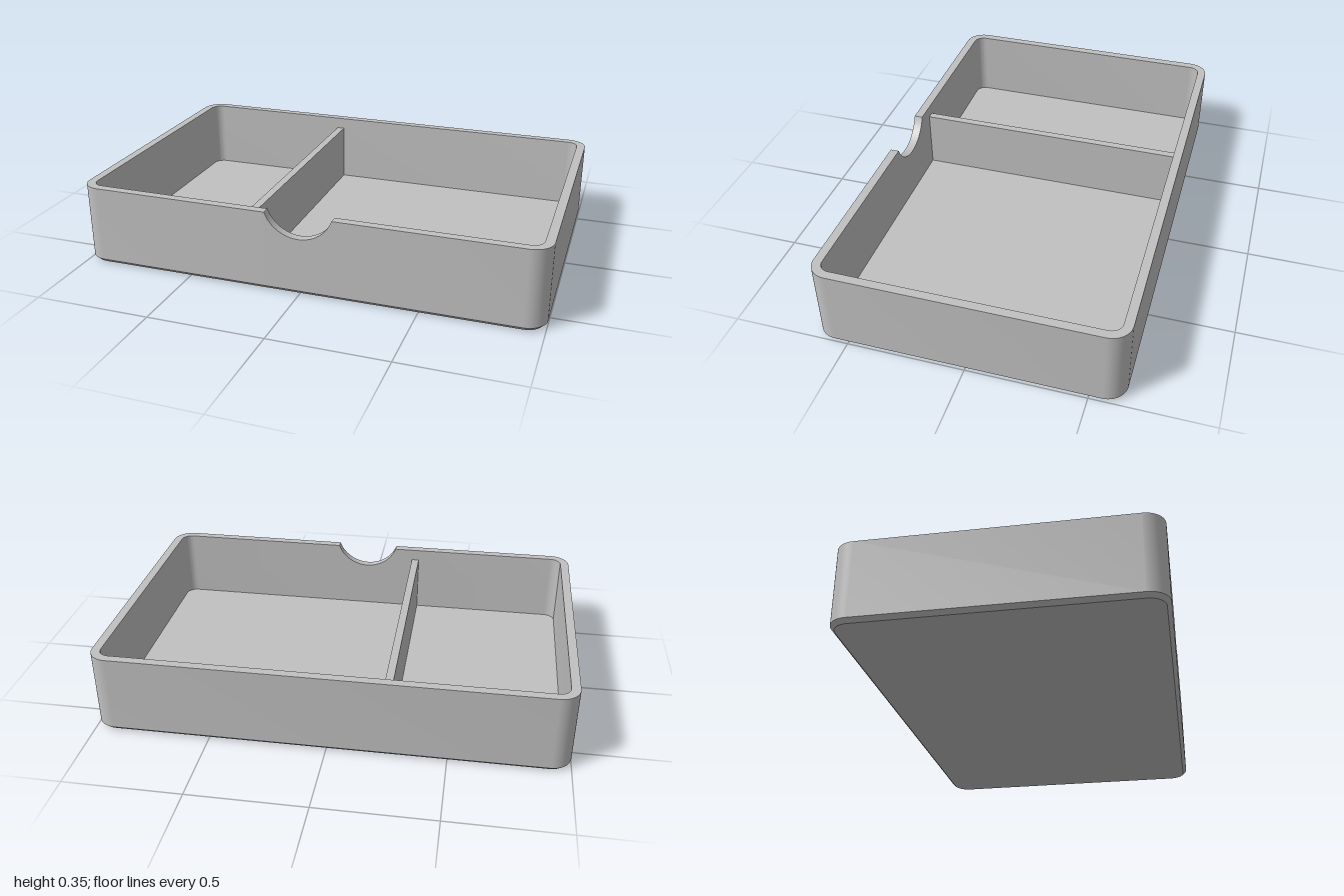
import * as THREE from 'three';
import { toCreasedNormals } from 'three/addons/utils/BufferGeometryUtils.js';

const HALF_X = 1, HALF_Z = 0.64, HEIGHT = 0.35;
const RADIUS = 0.085, WALL = 0.038, FLOOR = 0.037, CHAMFER = 0.017;
const NOTCH_HALF = 0.144, NOTCH_DEPTH = 0.1;

// Rounded-rectangle loop, inset from the outside; extra front points follow the thumb notch
function loop(inset, y, notched = false) {
  const points = [];
  const r = RADIUS - inset;
  const corner = (sx, sz, start) => {
    for (let k = 0; k <= 12; k++) {
      const a = start + (k / 12) * Math.PI / 2;
      points.push([sx * (HALF_X - RADIUS) + r * Math.cos(a), y, sz * (HALF_Z - RADIUS) + r * Math.sin(a)]);
    }
  };
  corner(1, 1, 0);
  const R = (NOTCH_HALF ** 2 + NOTCH_DEPTH ** 2) / (2 * NOTCH_DEPTH);
  const spread = Math.asin(NOTCH_HALF / R);
  for (let k = 0; k <= 32; k++) {
    const a = spread * (1 - k / 16);
    const drop = NOTCH_DEPTH - R + R * Math.cos(a);
    points.push([R * Math.sin(a), notched ? y - drop : y, HALF_Z - inset]);
  }
  corner(-1, 1, Math.PI / 2);
  corner(-1, -1, Math.PI);
  corner(1, -1, Math.PI * 1.5);
  return points;
}

// Skin the loops in order and close both ends with flat caps
function skin(loops) {
  const pos = [];
  const tri = (...corners) => corners.forEach((p) => pos.push(...p));
  const n = loops[0].length;
  const first = loops[0], last = loops[loops.length - 1];
  for (let i = 0; i < n; i++) {
    const j = (i + 1) % n;
    for (let l = 0; l < loops.length - 1; l++) {
      const a = loops[l], b = loops[l + 1];
      tri(a[i], b[i], b[j]);
      tri(a[i], b[j], a[j]);
    }
    tri([0, first[0][1], 0], first[i], first[j]);
    tri([0, last[0][1], 0], last[j], last[i]);
  }
  const geometry = new THREE.BufferGeometry();
  geometry.setAttribute('position', new THREE.Float32BufferAttribute(pos, 3));
  return toCreasedNormals(geometry, Math.PI / 6);
}

export function createModel() {
  const group = new THREE.Group();
  group.name = 'dividedTray';
  const grey = new THREE.MeshStandardMaterial({ color: 0xc0c0c0 });
  grey.name = 'light grey';

  // Tray shell: chamfered base, outer wall, notched rim, inner wall, floor
  const shell = new THREE.Mesh(skin([
    loop(CHAMFER, 0),
    loop(0, CHAMFER),
    loop(0, HEIGHT, true),
    loop(WALL, HEIGHT, true),
    loop(WALL, FLOOR),
  ]), grey);
  shell.name = 'trayShell';
  group.add(shell);

  // Divider, a little lower than the rim
  const top = 0.298;
  const divider = new THREE.Mesh(
    new THREE.BoxGeometry(0.034, top - FLOOR, 2 * (HALF_Z - WALL)), grey);
  divider.position.set(-0.246, (top + FLOOR) / 2, 0);
  divider.name = 'divider';
  group.add(divider);

  return group;
}
